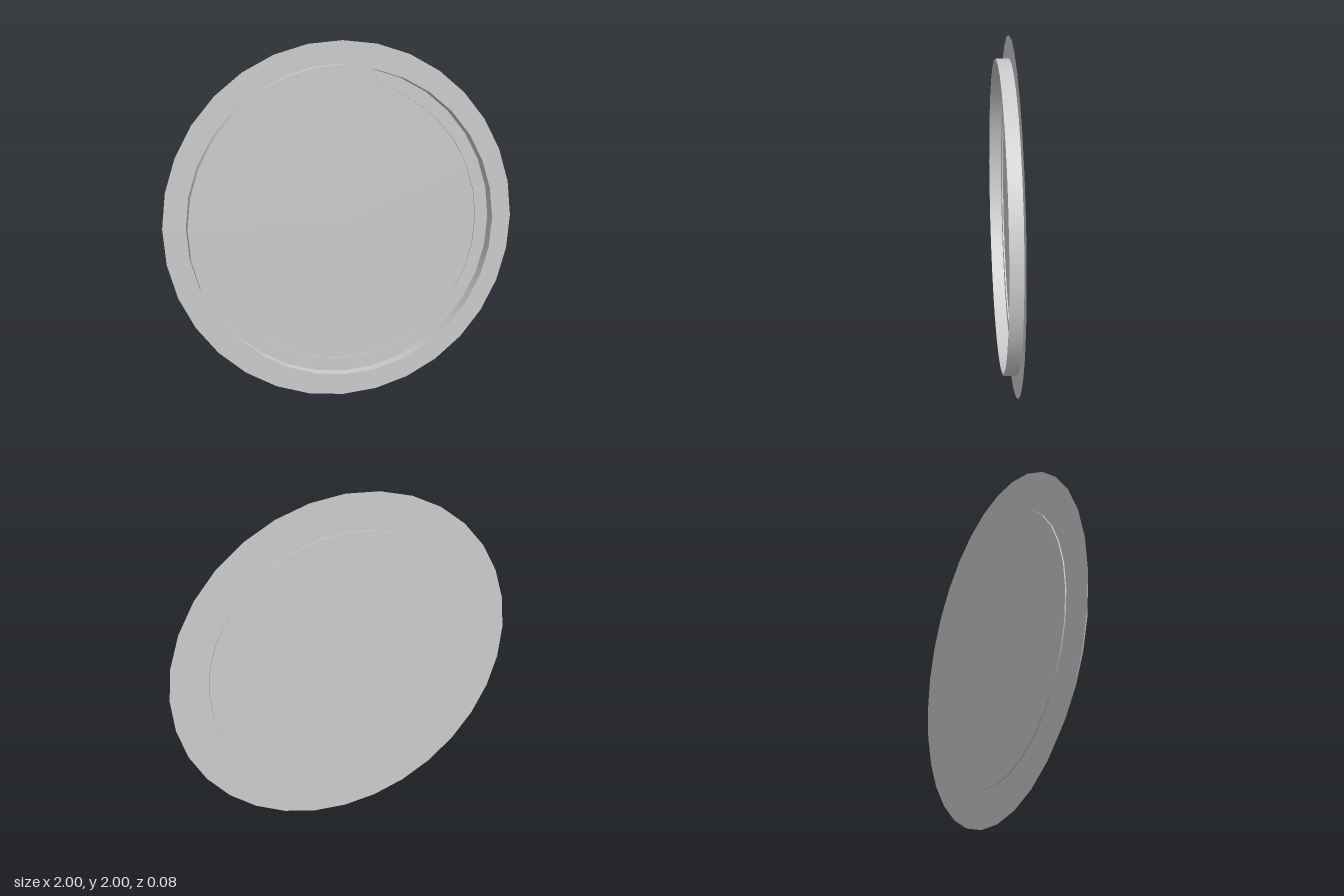
import * as THREE from 'three';

const SEGMENTS = 32;
const FRONT = 0.04, PLATE = -0.033, BACK = -0.04; // depth levels along z
const R_EDGE = 1, R_RIM = 0.873, R_RIM_IN = 0.86, R_PANEL = 0.785;

export function createModel() {
  const group = new THREE.Group();
  const material = new THREE.MeshStandardMaterial({ color: 0xcccccc, side: THREE.DoubleSide });

  // One revolved strip between two (radius, depth) points; separate strips keep edges sharp
  const strip = (name, r0, z0, r1, z1) => {
    const points = [new THREE.Vector2(r0, z0), new THREE.Vector2(r1, z1)];
    const geometry = new THREE.LatheGeometry(points, SEGMENTS).rotateX(Math.PI / 2);
    const mesh = new THREE.Mesh(geometry, material);
    mesh.name = name;
    mesh.position.y = 1;
    group.add(mesh);
  };

  // Thin flat flange, continuing inside the rim up to the sunken panel
  strip('flange', R_EDGE, PLATE, R_PANEL, PLATE);

  // Narrow raised rim
  strip('rimOuterWall', R_RIM, PLATE, R_RIM, FRONT);
  strip('rimFrontEdge', R_RIM, FRONT, R_RIM_IN, FRONT);
  strip('rimInnerWall', R_RIM_IN, FRONT, R_RIM_IN, PLATE);

  // Panel stepped slightly towards the back
  strip('panelStep', R_PANEL, PLATE, R_PANEL, BACK);
  strip('panel', R_PANEL, BACK, 0, BACK);

  return group;
}
